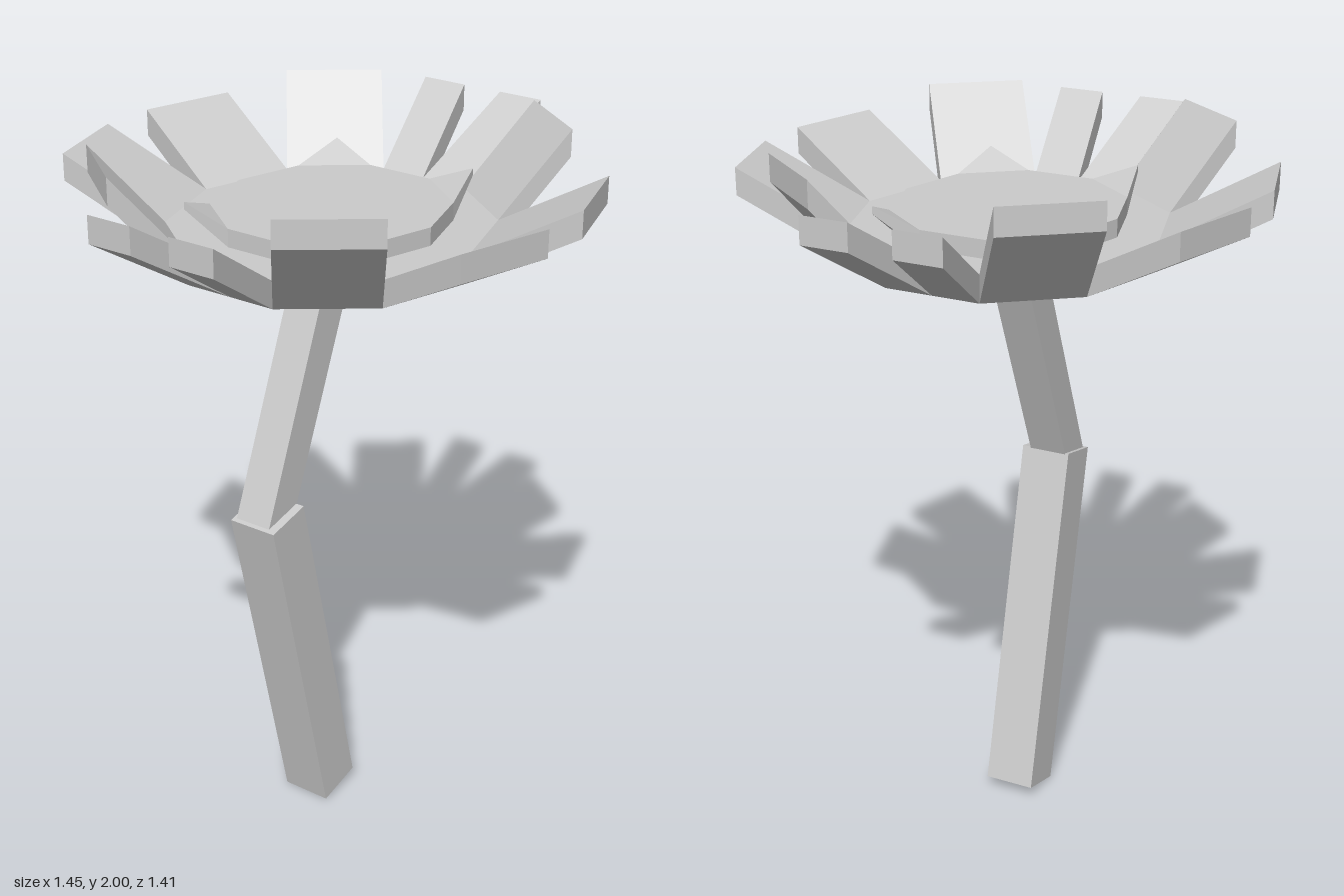
import * as THREE from 'three';

const material = new THREE.MeshStandardMaterial({ color: 0xcccccc, flatShading: true });
const BASE = 1.695, THICK = 0.075;

// Solid between two convex loops of [x, y, z] points with matching corners
function loft(lower, upper) {
  let area = 0;
  lower.forEach((p, i) => {
    const q = lower[(i + 1) % lower.length];
    area += p[2] * q[0] - q[2] * p[0];
  });
  if (area < 0) { lower = [...lower].reverse(); upper = [...upper].reverse(); }
  const pos = [], n = lower.length;
  const tri = (a, b, c) => pos.push(...a, ...b, ...c);
  for (let i = 0; i < n; i++) {
    const j = (i + 1) % n;
    tri(lower[i], lower[j], upper[j]);
    tri(lower[i], upper[j], upper[i]);
    if (i > 0 && i < n - 1) {
      tri(upper[0], upper[i], upper[i + 1]);
      tri(lower[0], lower[i + 1], lower[i]);
    }
  }
  const g = new THREE.BufferGeometry();
  g.setAttribute('position', new THREE.Float32BufferAttribute(pos, 3));
  g.computeVertexNormals();
  return g;
}

function part(name, geometry) {
  const mesh = new THREE.Mesh(geometry, material);
  mesh.name = name;
  return mesh;
}

// Upright prism from an outline of [x, z] points
const prism = (outline, y0, y1) =>
  loft(outline.map(([x, z]) => [x, y0, z]), outline.map(([x, z]) => [x, y1, z]));

// Stem piece: side outline in x, y extruded along z
function stemPiece(name, points, z0, z1) {
  const shape = new THREE.Shape(points.map(([x, y]) => new THREE.Vector2(x, y)));
  const g = new THREE.ExtrudeGeometry(shape, { depth: z1 - z0, bevelEnabled: false });
  g.translate(0, 0, z0);
  return part(name, g);
}

export function createModel() {
  const model = new THREE.Group();
  model.name = 'flower';

  // Bent stem
  model.add(
    stemPiece('lowerStem', [[-0.115, 0], [0.02, 0.035], [-0.215, 1.03], [-0.35, 1.0]], -0.085, 0.06),
    stemPiece('upperStem', [[-0.338, 1.0], [-0.215, 1.025], [0.08, 1.73], [-0.04, 1.73]], -0.075, 0.035)
  );

  const head = new THREE.Group();
  head.name = 'flowerHead';
  head.position.z = -0.003;
  model.add(head);

  // Quarter outline of the head, mirrored to a full ring
  const q = [[0, 0.428], [0.265, 0.35], [0.43, 0.134], [0.43, 0]];
  const ring = [
    ...q,
    ...q.slice(0, 3).reverse().map(([x, z]) => [x, -z]),
    ...q.slice(1).map(([x, z]) => [-x, -z]),
    ...q.slice(1, 3).reverse().map(([x, z]) => [-x, z])
  ];
  const inner = ([x, z]) => [x * 0.73, z * 0.73];
  head.add(part('plate', prism(ring, BASE, BASE + THICK)));
  head.add(part('centre', prism(ring.map(inner), BASE + THICK - 0.01, 1.82)));

  // Offset of each petal's tip from its base: x, rise, z
  const tips = [[0.082, 0.155, 0.277], [0.157, 0.23, 0.12], [0.295, 0.187, 0.06]];
  for (const sx of [1, -1]) for (const sz of [1, -1]) {
    tips.forEach(([dx, dy, dz], i) => {
      const [a, b] = [q[i], q[i + 1]];
      const corners = [
        [a[0], BASE, a[1]], [b[0], BASE, b[1]],
        [b[0] + dx, BASE + dy, b[1] + dz], [a[0] + dx, BASE + dy, a[1] + dz]
      ].map(([x, y, z]) => [x * sx, y, z * sz]);
      head.add(part('petal', loft(corners, corners.map(([x, y, z]) => [x, y + THICK, z]))));
    });

    // Raised corner of the centre
    const [a, b] = [inner(q[1]), inner(q[2])];
    const spike = (y, tipY) => [[a[0], y, a[1]], [b[0], y, b[1]], [0.332, tipY, 0.225]]
      .map(([x, h, z]) => [x * sx, h, z * sz]);
    head.add(part('centreSpike', loft(spike(BASE + THICK, 1.85), spike(1.82, 1.87))));
  }
  return model;
}
